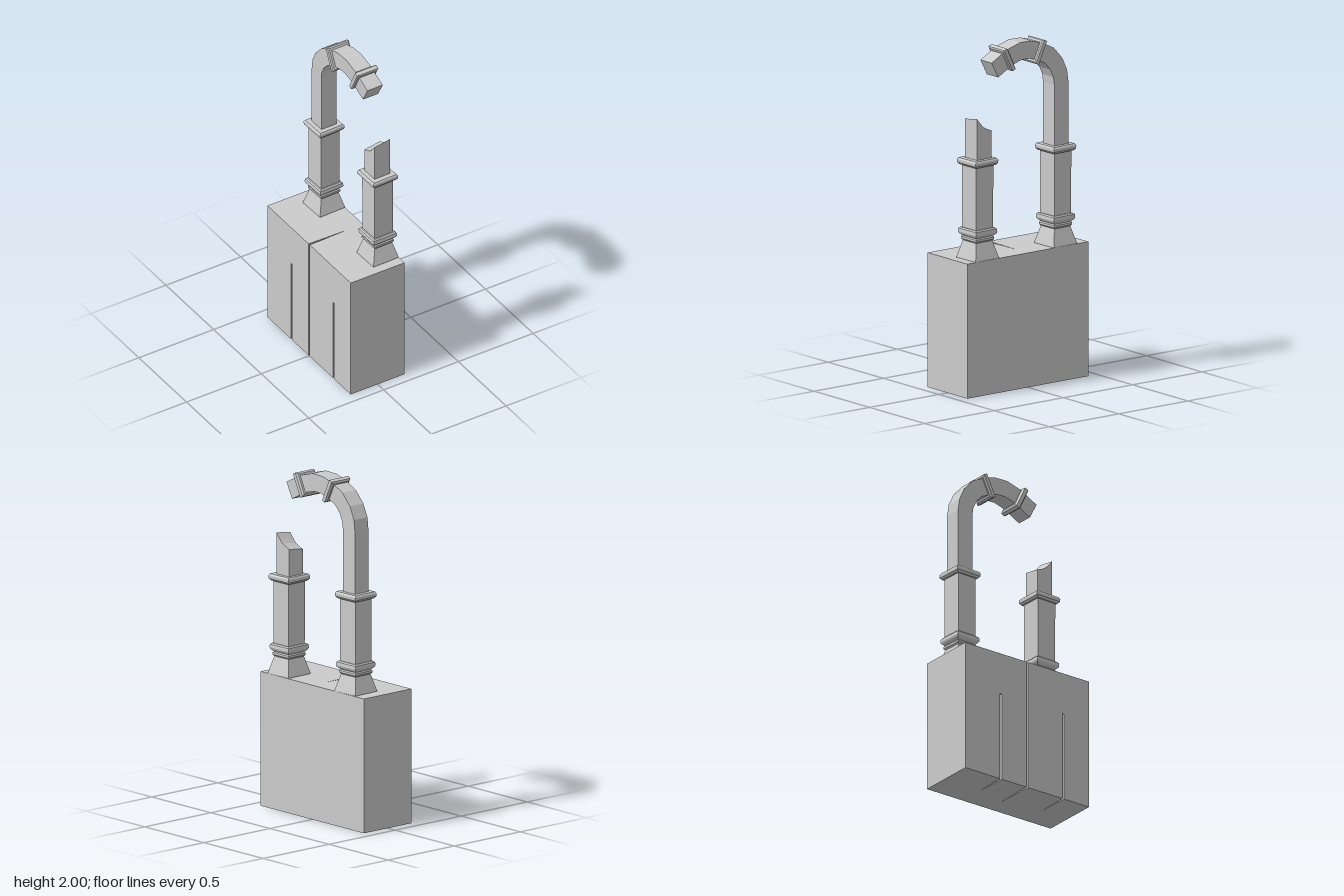
import * as THREE from 'three';

const material = new THREE.MeshStandardMaterial({ color: 0xcccccc, flatShading: true });
const thinMaterial = new THREE.MeshStandardMaterial({ color: 0xcccccc, flatShading: true, side: THREE.DoubleSide });

function addMesh(parent, name, geometry, mat = material) {
  const mesh = new THREE.Mesh(geometry, mat);
  mesh.name = name;
  parent.add(mesh);
  return mesh;
}

// Square solid of stacked sections, each [half width, height]
function squareTurned(profile) {
  const pts = profile.map(([h, y]) => new THREE.Vector2(h * Math.SQRT2, y));
  return new THREE.LatheGeometry(pts, 4, Math.PI / 4);
}

// Block layer with tapering cracks cut in from the -x side, each [z, depth]
function blockLayer(y0, y1, cracks) {
  const w = 0.18, d = 0.437;
  const shape = new THREE.Shape();
  shape.moveTo(-w, -d);
  shape.lineTo(w, -d);
  shape.lineTo(w, d);
  shape.lineTo(-w, d);
  for (const [z, depth] of cracks) {
    shape.lineTo(-w, -z + 0.006);
    shape.lineTo(-w + depth, -z);
    shape.lineTo(-w, -z - 0.006);
  }
  shape.closePath();
  const geo = new THREE.ExtrudeGeometry(shape, { depth: y1 - y0, bevelEnabled: false });
  return geo.rotateX(-Math.PI / 2).translate(0, y0, 0);
}

// Square pipe swept along [x, y, z] points that bend in the yz plane
function squarePipe(points, half) {
  const path = points.map(p => new THREE.Vector3(...p));
  const side = new THREE.Vector3(1, 0, 0);
  const rings = path.map((p, i) => {
    const a = path[Math.max(i - 1, 0)], b = path[Math.min(i + 1, path.length - 1)];
    const along = b.clone().sub(a).setX(0).normalize();
    const out = new THREE.Vector3().crossVectors(along, side);
    return [[1, 1], [1, -1], [-1, -1], [-1, 1]].map(([s, t]) =>
      p.clone().addScaledVector(side, s * half).addScaledVector(out, t * half));
  });
  const pos = [];
  const quad = (a, b, c, d) => [a, b, c, a, c, d].forEach(v => pos.push(v.x, v.y, v.z));
  for (let i = 0; i < rings.length - 1; i++) {
    for (let k = 0; k < 4; k++) {
      const n = (k + 1) % 4;
      quad(rings[i][k], rings[i + 1][k], rings[i + 1][n], rings[i][n]);
    }
  }
  const last = rings[rings.length - 1];
  quad(last[3], last[2], last[1], last[0]);
  quad(...rings[0]);
  const geo = new THREE.BufferGeometry();
  geo.setAttribute('position', new THREE.Float32BufferAttribute(pos, 3));
  geo.computeVertexNormals();
  return geo;
}

// Flared foot, mouldings, shaft and top collar
function createColumn(name, z, turn) {
  const column = new THREE.Group();
  column.name = name;
  column.position.set(0.092, 0, z);
  column.rotation.y = turn;
  addMesh(column, 'flaredFoot', squareTurned([[0, 0.775], [0.085, 0.775], [0.085, 0.785], [0.058, 0.885], [0, 0.885]]));
  addMesh(column, 'lowerMoulding', squareTurned([[0, 0.88], [0.058, 0.88], [0.066, 0.89], [0.066, 0.902], [0.058, 0.912], [0, 0.912]]));
  addMesh(column, 'upperMoulding', squareTurned([[0, 0.908], [0.06, 0.908], [0.075, 0.922], [0.079, 0.932], [0.077, 0.95], [0.07, 0.957], [0, 0.957]]));
  addMesh(column, 'shaft', squareTurned([[0, 0.91], [0.062, 0.95], [0.063, 1.33], [0, 1.33]]));
  addMesh(column, 'collar', squareTurned([[0, 1.32], [0.072, 1.32], [0.082, 1.332], [0.083, 1.35], [0.077, 1.36], [0, 1.36]]));
  return column;
}

export function createModel() {
  const model = new THREE.Group();
  model.name = 'pipesOnBlock';

  // Cracked block: the side cracks stop partway up
  const block = new THREE.Group();
  block.name = 'block';
  model.add(block);
  addMesh(block, 'lowerBlock', blockLayer(0, 0.53, [[-0.185, 0.2], [0, 0.26], [0.255, 0.2]]), thinMaterial);
  addMesh(block, 'upperBlock', blockLayer(0.53, 0.78, [[0, 0.26]]), thinMaterial);

  const frontColumn = createColumn('frontColumn', 0.293, 0.02);
  const backColumn = createColumn('backColumn', -0.27, 0.03);
  model.add(frontColumn, backColumn);

  // Broken stump with a sloping, jagged top
  const stump = new THREE.Shape();
  [[-0.057, 1.34], [0.048, 1.34], [0.048, 1.6], [0.022, 1.568], [0, 1.545], [-0.03, 1.53], [-0.057, 1.52]]
    .forEach(([z, y], i) => (i ? stump.lineTo(-z, y) : stump.moveTo(-z, y)));
  stump.closePath();
  const stumpGeo = new THREE.ExtrudeGeometry(stump, { depth: 0.105, bevelEnabled: false });
  stumpGeo.rotateY(Math.PI / 2).translate(-0.052, 0, 0);
  const p = stumpGeo.attributes.position;
  for (let i = 0; i < p.count; i++) {
    if (p.getY(i) > 1.5) p.setY(i, p.getY(i) + (p.getX(i) - 0.053) * 0.15);
  }
  addMesh(frontColumn, 'brokenStump', stumpGeo);

  // Curved pipe bending over toward the front
  addMesh(model, 'curvedPipe', squarePipe([
    [0.093, 1.34, -0.27], [0.093, 1.72, -0.27], [0.092, 1.775, -0.263], [0.092, 1.835, -0.235],
    [0.093, 1.89, -0.185], [0.095, 1.925, -0.115], [0.097, 1.946, -0.045], [0.099, 1.949, 0.025],
    [0.102, 1.925, 0.11], [0.106, 1.868, 0.22],
  ], 0.051), thinMaterial);

  // Collars clamped around the bend: position and tilt
  const clamp = squareTurned([[0, -0.018], [0.06, -0.018], [0.071, -0.01], [0.071, 0.012], [0.064, 0.018], [0, 0.018]]);
  for (const [name, x, y, z, tilt] of [
    ['rearPipeCollar', 0.096, 1.924, -0.11, Math.PI / 2 - 0.44],
    ['frontPipeCollar', 0.105, 1.918, 0.126, Math.PI / 2 + 0.45],
  ]) {
    const collar = addMesh(model, name, clamp);
    collar.position.set(x, y, z);
    collar.rotation.x = tilt;
  }
  return model;
}
